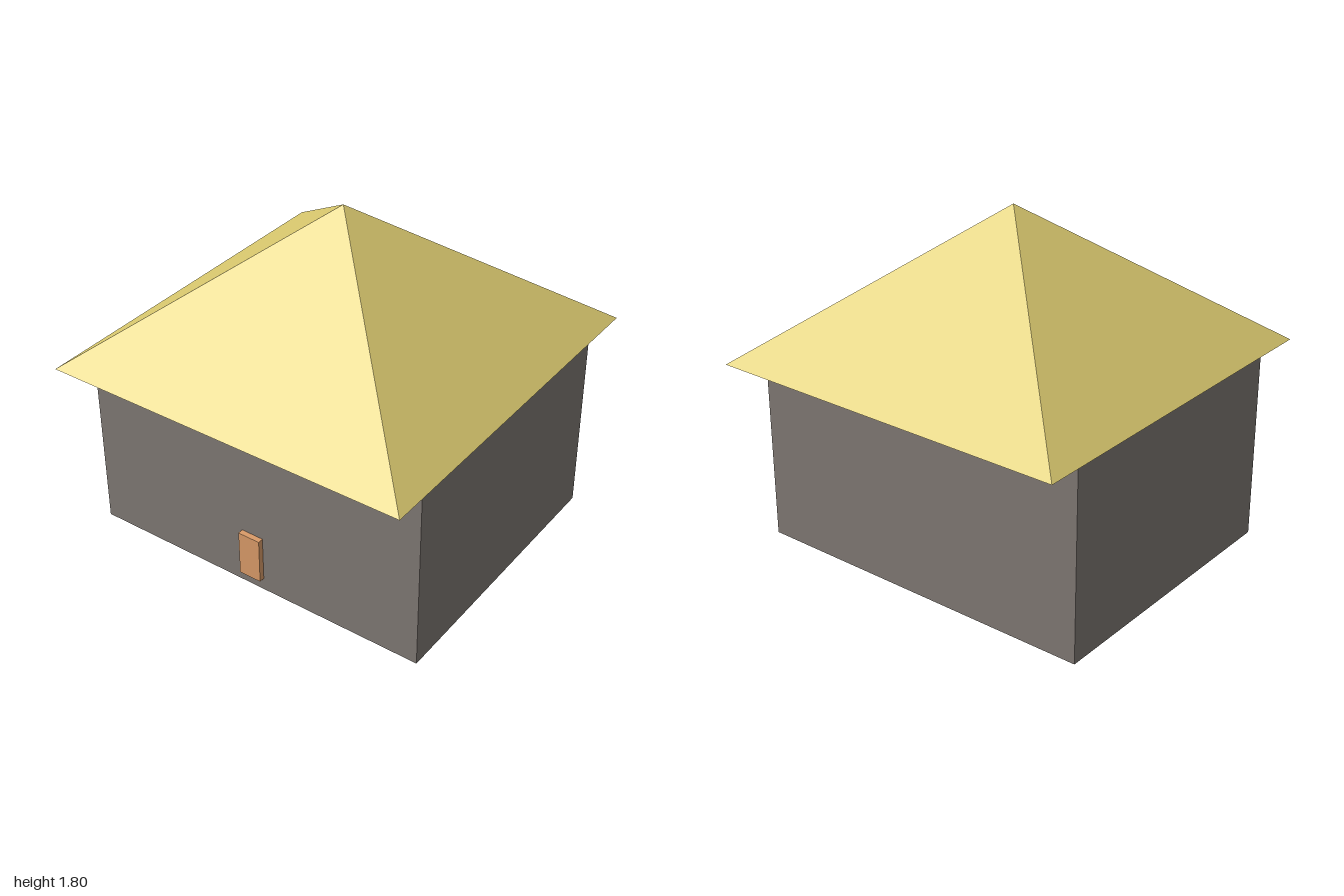
import * as THREE from 'three';

export function createModel() {
  const group = new THREE.Group();

  const add = (name, geometry, color, x, y, z, flatShading = false) => {
    const material = new THREE.MeshStandardMaterial({ color, flatShading });
    const mesh = new THREE.Mesh(geometry, material);
    mesh.name = name;
    mesh.position.set(x, y, z);
    group.add(mesh);
    return mesh;
  };

  // Plain block of walls standing on the ground
  const wallHeight = 1.03, wallDepth = 1.536;
  add('walls', new THREE.BoxGeometry(1.93, wallHeight, wallDepth), 0x7f7873, 0, wallHeight / 2, 0);

  // Square pyramid roof, closed below, overhanging the walls
  const roofHeight = 0.77;
  const roof = new THREE.ConeGeometry(Math.SQRT2, roofHeight, 4);
  roof.rotateY(Math.PI / 4);
  add('roof', roof, 0xdccb70, 0, wallHeight + roofHeight / 2, 0, true);

  // Small door slab, half sunk into the front wall
  add('door', new THREE.BoxGeometry(0.125, 0.25, 0.06), 0xd99b68, 0, 0.195, wallDepth / 2);

  return group;
}
